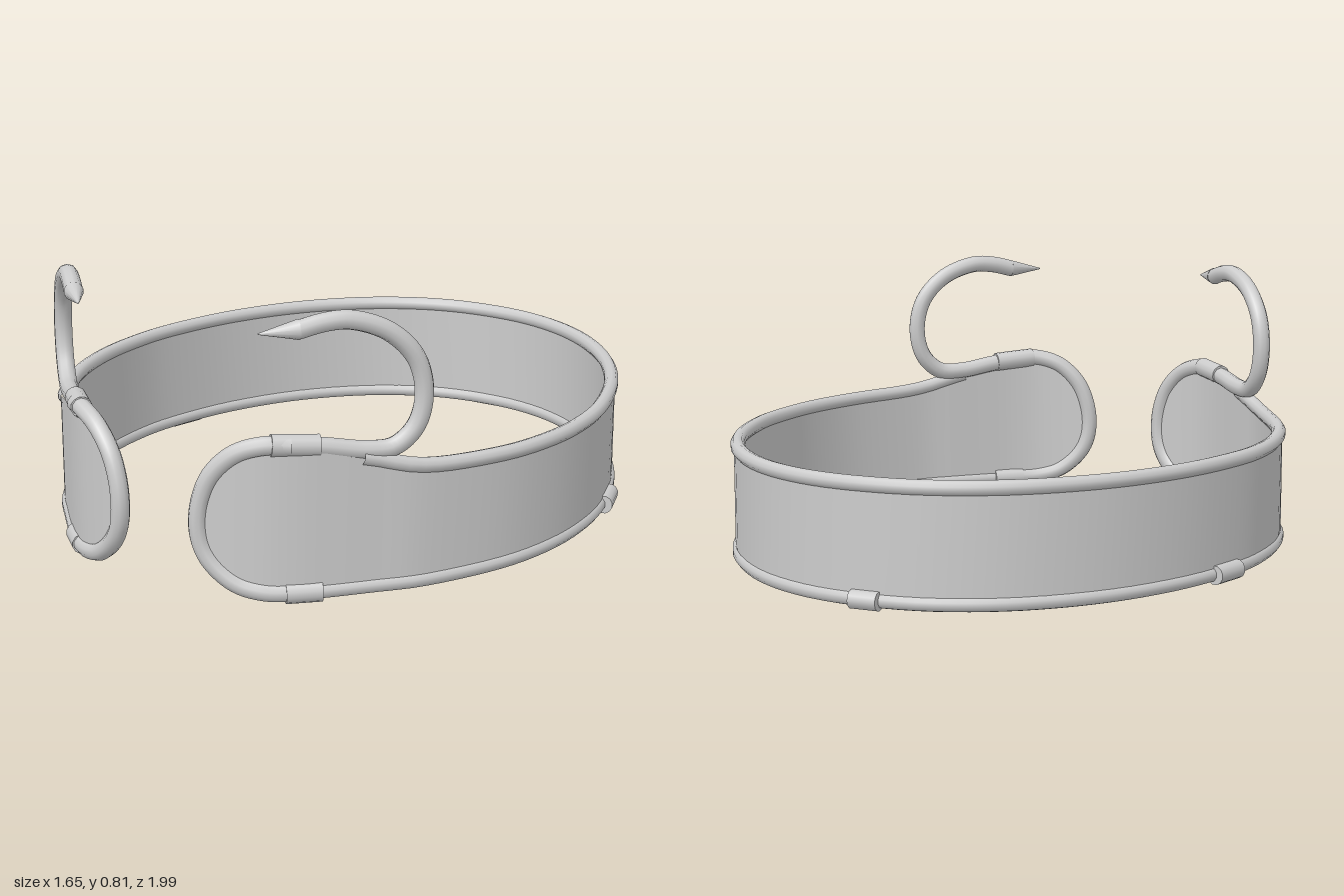
import * as THREE from 'three';

// Half outline from the back centre to the front tip: x, z, lower edge y, upper edge y
const half = [
  [0, -0.957, 0.035, 0.35], [0.2, -0.928, 0.035, 0.35], [0.4, -0.825, 0.035, 0.35],
  [0.58, -0.645, 0.035, 0.35], [0.71, -0.42, 0.035, 0.35], [0.785, -0.18, 0.035, 0.35],
  [0.804, 0, 0.035, 0.35], [0.79, 0.18, 0.035, 0.352], [0.735, 0.37, 0.035, 0.355],
  [0.62, 0.58, 0.035, 0.365], [0.52, 0.695, 0.035, 0.4], [0.42, 0.8, 0.034, 0.432],
  [0.36, 0.855, 0.035, 0.453], [0.3, 0.897, 0.038, 0.455], [0.23, 0.93, 0.058, 0.43],
  [0.17, 0.952, 0.108, 0.37], [0.14, 0.962, 0.16, 0.3], [0.13, 0.966, 0.225, 0.225],
];
const last = half.length - 1;
const V = (x, y, z) => new THREE.Vector3(x, y, z);

// Full edge of the band, running from the right tip round the back to the left tip
function edgeCurve(k) {
  const mirrored = half.slice(1).reverse().map((p) => V(-p[0], p[k], p[1]));
  const pts = half.map((p) => V(p[0], p[k], p[1]));
  return new THREE.CatmullRomCurve3([...mirrored, ...pts], false, 'catmullrom', 0.5);
}
const lower = edgeCurve(2), upper = edgeCurve(3);

// One face of the band, offset outward or inward from the outline
function bandFace(offset, outward) {
  const n = 136, pos = [], index = [];
  for (let i = 0; i <= n; i++) {
    const t = i / n;
    const dir = lower.getTangent(t).setY(0).normalize();
    const normal = V(0, 1, 0).cross(dir).multiplyScalar(offset);
    for (const curve of [lower, upper]) pos.push(...curve.getPoint(t).add(normal).toArray());
    if (i === n) break;
    const a = 2 * i, b = a + 1, c = a + 2, d = a + 3;
    if (outward) index.push(a, b, c, c, b, d);
    else index.push(a, c, b, c, d, b);
  }
  const g = new THREE.BufferGeometry();
  g.setAttribute('position', new THREE.Float32BufferAttribute(pos, 3));
  g.setIndex(index);
  g.computeVertexNormals();
  return g;
}

// Part of an edge between the mirrored positions of one outline row
function rimPath(curve, row) {
  const pts = [];
  for (let i = 0; i <= 60; i++) pts.push(curve.getPoint(0.5 + (i / 30 - 1) * row / (2 * last)));
  return new THREE.CatmullRomCurve3(pts);
}

// Capped rod between two points, used for sleeves and pointed ends
function rod(a, b, r0, r1) {
  const dir = b.clone().sub(a);
  const g = new THREE.CylinderGeometry(r1, r0, dir.length(), 12);
  g.applyQuaternion(new THREE.Quaternion().setFromUnitVectors(V(0, 1, 0), dir.normalize()));
  const mid = a.clone().add(b).multiplyScalar(0.5);
  return g.translate(mid.x, mid.y, mid.z);
}

export function createModel() {
  const model = new THREE.Group();
  const metal = new THREE.MeshStandardMaterial({ color: 0xcccccc });
  metal.name = 'greyMetal';
  const add = (name, geometry) => {
    const mesh = new THREE.Mesh(geometry, metal);
    mesh.name = name;
    model.add(mesh);
  };
  const tube = (curve, r, n) => new THREE.TubeGeometry(curve, n, r, 10);

  // Band and its rims
  add('bandOutside', bandFace(0.012, true));
  add('bandInside', bandFace(-0.012, false));
  add('lowerRim', tube(rimPath(lower, 12), 0.022, 100));
  add('upperRim', tube(rimPath(upper, 10.2), 0.022, 100));
  add('backSleeve', rod(V(-0.042, 0.035, -0.971), V(0.042, 0.035, -0.971), 0.027, 0.027));

  const hornLine = [
    [0.34, 0.456], [0.42, 0.441], [0.5, 0.423], [0.555, 0.427], [0.597, 0.48], [0.613, 0.57],
    [0.597, 0.67], [0.545, 0.748], [0.47, 0.788], [0.42, 0.786], [0.37, 0.77],
  ];
  for (const s of [1, -1]) {
    const side = s > 0 ? 'left' : 'right';
    const at = (x, y) => V(s * x, y, 0.585 + (0.615 - x) * 1.02);

    // Thick rim round the paddle-shaped end
    const paddle = [
      ...half.slice(11).map((p) => V(s * p[0], p[2], p[1])),
      ...half.slice(12, last).reverse().map((p) => V(s * p[0], p[3], p[1])),
    ];
    add(side + 'PaddleRim', tube(new THREE.CatmullRomCurve3(paddle), 0.027, 60));

    // Curled horn with a pointed tip
    const horn = new THREE.CatmullRomCurve3(hornLine.map(([x, y]) => at(x, y)));
    add(side + 'Horn', tube(horn, 0.027, 60));
    add(side + 'HornTip', rod(at(0.372, 0.771), at(0.295, 0.766), 0.028, 0.002));

    // Sleeves
    add(side + 'UpperSleeve', rod(at(0.41, 0.446), V(s * 0.315, 0.456, 0.888), 0.031, 0.031));
    add(side + 'LowerSleeve', rod(V(s * 0.42, 0.034, 0.8), V(s * 0.345, 0.034, 0.867), 0.031, 0.031));
    add(side + 'SideSleeve', rod(V(s * 0.765, 0.034, -0.31), V(s * 0.796, 0.034, -0.2), 0.028, 0.028));
  }
  return model;
}
